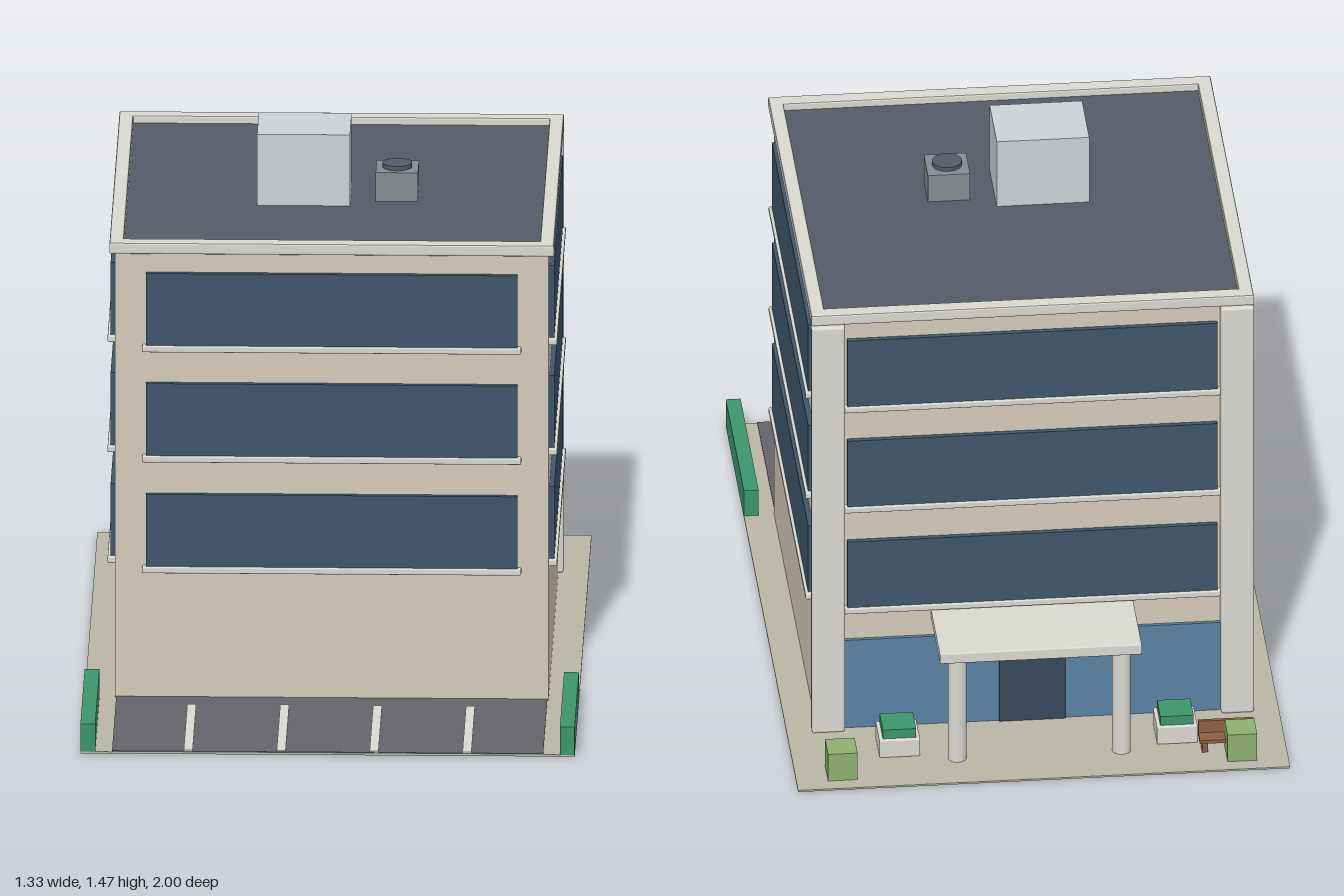
import * as THREE from 'three';
import { RoundedBoxGeometry } from 'three/addons/geometries/RoundedBoxGeometry.js';

const mat = (color) => new THREE.MeshStandardMaterial({ color });

export function createModel() {
  const model = new THREE.Group();
  const wall = mat(0xd4cabb), trim = mat(0xd9d8d1), glass = mat(0x3f566c);
  const shopGlass = mat(0x5b82a3), doorGlass = mat(0x34485c), roofDark = mat(0x555a66);
  const paving = mat(0xbab5a6), asphalt = mat(0x64656c), hedgeGreen = mat(0x3c966e);
  const bushGreen = mat(0x8fb06f), wood = mat(0x8f5f42), metal = mat(0x878b91), pale = mat(0xcdd2d4);

  // Adds a mesh to the model
  function add(name, geometry, material, x = 0, y = 0, z = 0) {
    const mesh = new THREE.Mesh(geometry, material);
    mesh.name = name;
    mesh.position.set(x, y, z);
    model.add(mesh);
    return mesh;
  }
  // Box given by its extents; r > 0 rounds its edges
  function box(name, material, [x0, x1], [y0, y1], [z0, z1], r = 0) {
    const w = x1 - x0, h = y1 - y0, d = z1 - z0;
    const g = r ? new RoundedBoxGeometry(w, h, d, 2, r) : new THREE.BoxGeometry(w, h, d);
    return add(name, g, material, (x0 + x1) / 2, (y0 + y1) / 2, (z0 + z1) / 2);
  }

  // Site
  box('groundSlab', paving, [-0.665, 0.665], [0, 0.005], [-1, 1]);
  box('parkingLot', asphalt, [-0.58, 0.58], [0.003, 0.008], [0.5, 1]);
  for (const x of [-0.375, -0.125, 0.125, 0.375])
    box('parkingStripe', trim, [x - 0.012, x + 0.012], [0.006, 0.011], [0.58, 0.998]);

  // Building body and roof
  box('buildingBody', wall, [-0.583, 0.583], [0.003, 1.262], [-0.663, 0.503]);
  box('roofDeck', roofDark, [-0.57, 0.57], [1.255, 1.268], [-0.65, 0.485]);

  // Parapet ring around the roof
  const rect = (S, x, z0, z1) => new S()
    .moveTo(-x, z0).lineTo(x, z0).lineTo(x, z1).lineTo(-x, z1).closePath();
  const b = 0.005;
  const ring = rect(THREE.Shape, 0.598 - b, -0.518 + b, 0.684 - b);
  ring.holes.push(rect(THREE.Path, 0.56 + b, -0.475 - b, 0.642 + b));
  const parapet = new THREE.ExtrudeGeometry(ring, {
    depth: 0.032 - 2 * b, bevelEnabled: true, bevelThickness: b, bevelSize: b, bevelSegments: 2,
  });
  parapet.rotateX(-Math.PI / 2);
  add('parapet', parapet, trim, 0, 1.257 + b, 0);

  // Three floors of ribbon windows with sills, on all four sides
  for (const y of [0.378, 0.69, 1.0]) {
    const glassY = [y, y + 0.203], sillY = [y - 0.018, y];
    box('frontWindow', glass, [-0.5, 0.5], glassY, [0.49, 0.517]);
    box('frontSill', trim, [-0.51, 0.51], sillY, [0.49, 0.523], 0.004);
    box('backWindow', glass, [-0.5, 0.5], glassY, [-0.677, -0.65]);
    box('backSill', trim, [-0.51, 0.51], sillY, [-0.683, -0.65], 0.004);
    for (const s of [-1, 1]) {
      const span = (a, c) => (s > 0 ? [a, c] : [-c, -a]);
      box('sideWindow', glass, span(0.57, 0.597), glassY, [-0.58, 0.42]);
      box('sideSill', trim, span(0.57, 0.605), sillY, [-0.592, 0.432], 0.004);
    }
  }

  // Ground floor entrance
  box('storefront', shopGlass, [-0.51, 0.51], [0.005, 0.275], [-0.673, -0.65]);
  box('entranceDoor', doorGlass, [-0.09, 0.09], [0.005, 0.235], [-0.679, -0.65]);
  box('canopy', trim, [-0.273, 0.273], [0.323, 0.355], [-0.912, -0.655], 0.004);

  // Mirrored parts
  for (const s of [-1, 1]) {
    const at = (x, half) => [s * x - half, s * x + half];
    box('cornerPilaster', trim, at(0.553, 0.045), [0.004, 1.258], [-0.697, -0.655], 0.008);
    add('canopyColumn', new THREE.CylinderGeometry(0.025, 0.025, 0.322, 24), trim, s * 0.222, 0.165, -0.865);
    box('hedge', hedgeGreen, at(0.645, 0.02), [0.004, 0.083], [0.5, 1]);
    box('planter', trim, at(0.375, 0.055), [0.004, 0.058], [-0.846, -0.735], 0.004);
    box('planterShrub', hedgeGreen, at(0.375, 0.045), [0.055, 0.085], [-0.836, -0.745]);
    box('bush', bushGreen, at(0.54, 0.04), [0.004, 0.087], [-0.957, -0.873]);
  }

  // Bench
  box('benchSeat', wood, [-0.58, -0.43], [0.034, 0.044], [-0.905, -0.86]);
  box('benchBack', wood, [-0.58, -0.43], [0.04, 0.08], [-0.862, -0.852]);
  for (const x of [-0.565, -0.445])
    box('benchLeg', wood, [x - 0.008, x + 0.008], [0.004, 0.036], [-0.9, -0.862]);

  // Rooftop equipment
  box('stairHouse', pale, [-0.21, 0.04], [1.262, 1.468], [-0.1, 0.1]);
  box('coolingUnit', metal, [0.108, 0.222], [1.262, 1.349], [-0.057, 0.057]);
  add('coolingFan', new THREE.CylinderGeometry(0.04, 0.04, 0.014, 24), roofDark, 0.165, 1.354, 0);

  return model;
}
